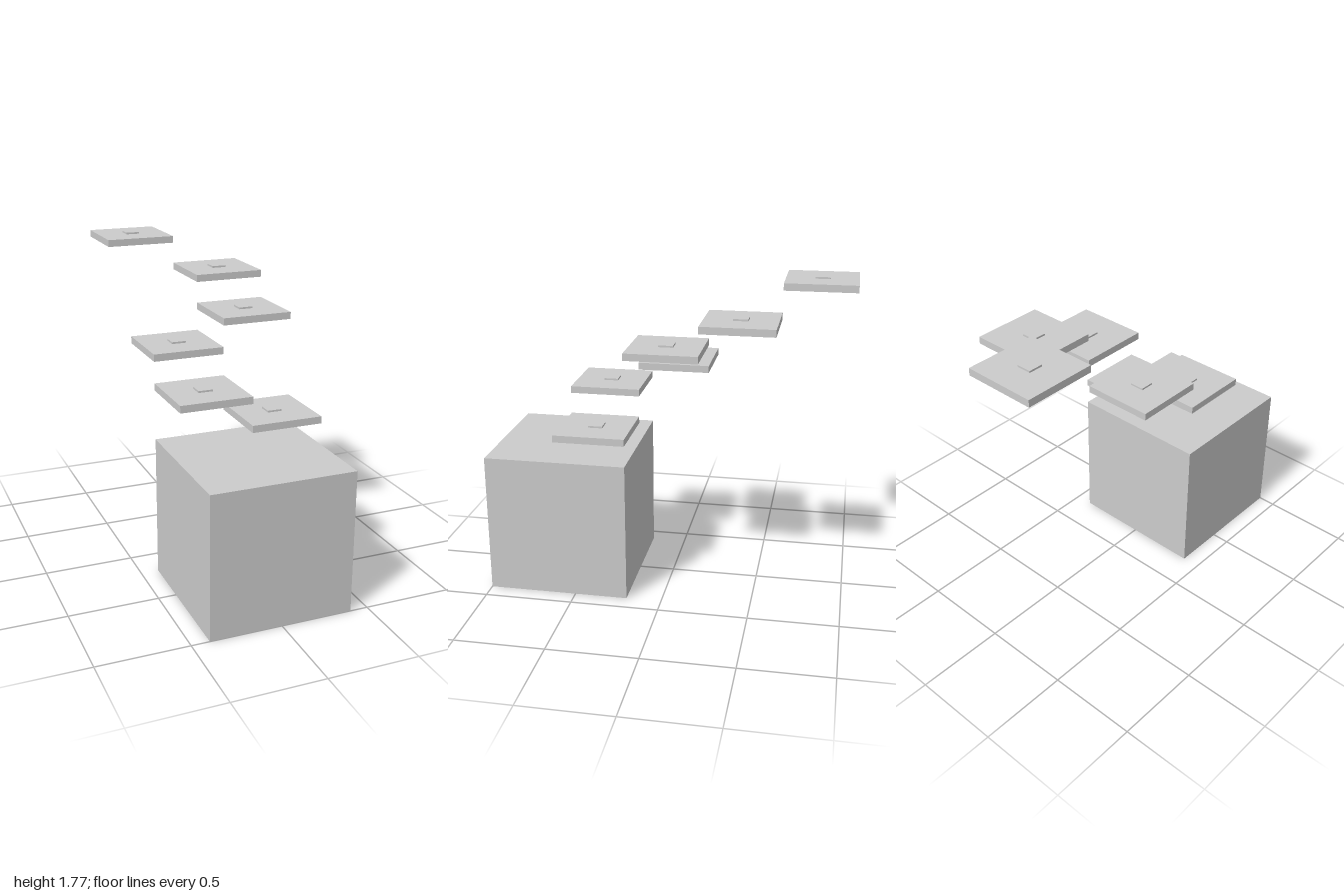
import * as THREE from 'three';

export function createModel() {
  const model = new THREE.Group();
  const material = new THREE.MeshStandardMaterial({ color: 0xcccccc, flatShading: true });

  // Box standing on height y
  function addBox(parent, name, width, height, x, y, z) {
    const mesh = new THREE.Mesh(new THREE.BoxGeometry(width, height, width), material);
    mesh.name = name;
    mesh.position.set(x, y + height / 2, z);
    parent.add(mesh);
  }

  // Large cube at the front
  addBox(model, 'baseBlock', 0.8, 0.8, 0, 0, 0.6);

  // Floating platforms, rising evenly towards the back
  const steps = [[0.2, 0.4], [-0.2, 0.4], [-0.2, 0], [0.2, 0], [0.2, -0.4], [-0.2, -0.8]];
  steps.forEach(([x, z], i) => {
    const platform = new THREE.Group();
    platform.name = `platform${i + 1}`;
    platform.position.set(x, 0.92 + i * 0.16, z);
    addBox(platform, 'slab', 0.4, 0.04, 0, 0, 0);
    addBox(platform, 'button', 0.08, 0.01, 0, 0.04, 0);
    model.add(platform);
  });

  return model;
}
